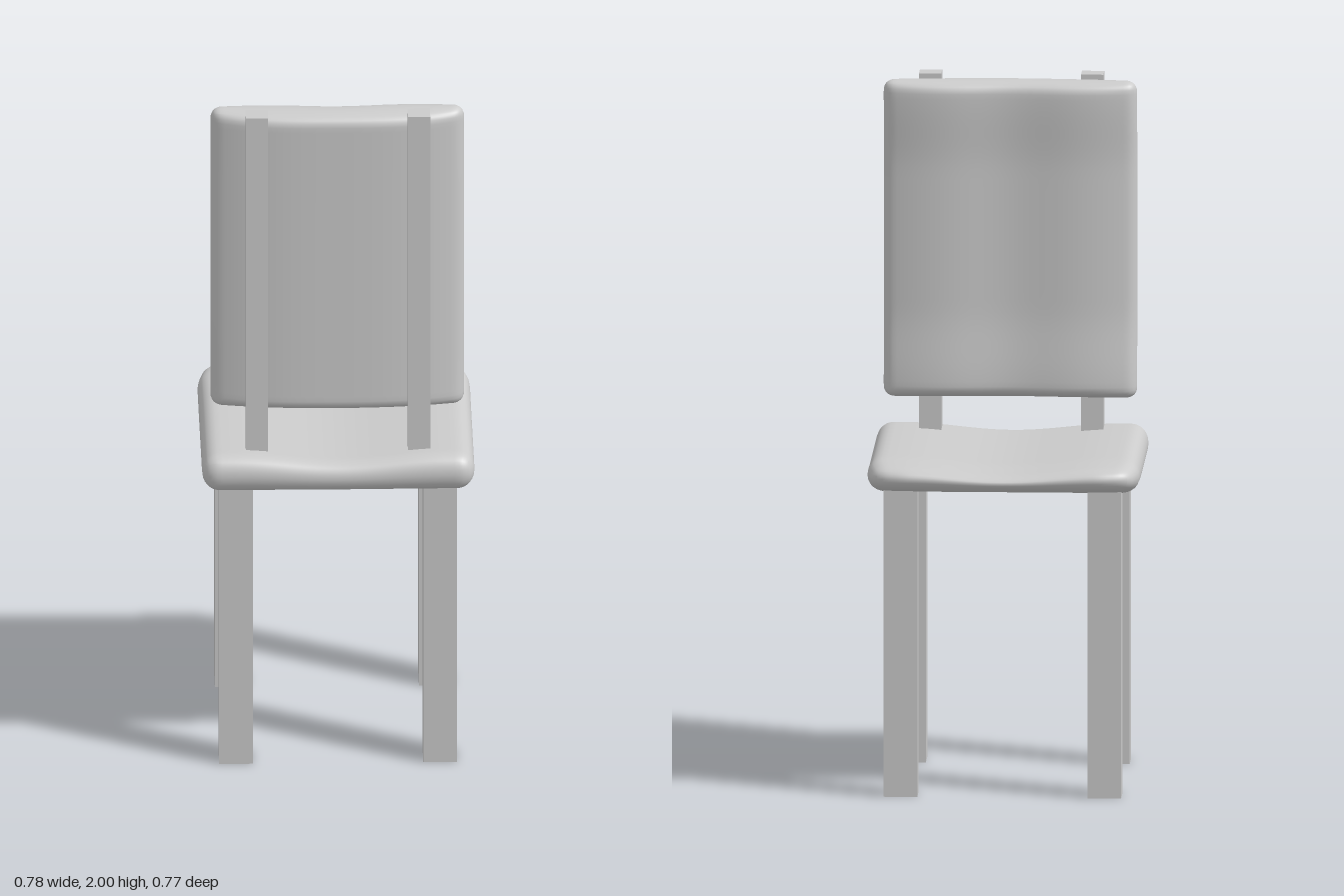
import * as THREE from 'three';
import { mergeVertices } from 'three/addons/utils/BufferGeometryUtils.js';

const { clamp, lerp, smoothstep } = THREE.MathUtils;
const material = new THREE.MeshStandardMaterial({ color: 0xcccccc });

// Smooth cushion: a rounded box (half sizes h, edge radii r), then reshaped by a rule.
function cushion(name, h, r, segments, reshape) {
  const box = new THREE.BoxGeometry(2, 2, 2, ...segments);
  box.deleteAttribute('uv');
  box.deleteAttribute('normal');
  const geometry = mergeVertices(box);
  const pos = geometry.attributes.position;
  const p = new THREE.Vector3(), d = new THREE.Vector3();
  for (let i = 0; i < pos.count; i++) {
    p.fromBufferAttribute(pos, i);
    for (const a of ['x', 'y', 'z']) {
      // crowd the vertices towards the rims, then split core and rounding
      const v = Math.sin(p[a] * Math.PI / 2) * h[a];
      const core = h[a] - r[a];
      p[a] = clamp(v, -core, core);
      d[a] = (v - p[a]) / r[a];
    }
    // bring the square rim onto the rounded one
    const m = Math.max(Math.abs(d.x), Math.abs(d.y), Math.abs(d.z));
    if (m > 0) d.setLength(m);
    for (const a of ['x', 'y', 'z']) p[a] += d[a] * r[a];
    reshape(p);
    pos.setXYZ(i, p.x, p.y, p.z);
  }
  geometry.computeVertexNormals();
  const mesh = new THREE.Mesh(geometry, material);
  mesh.name = name;
  return mesh;
}

// Square bar between two heights
function bar(name, x, z, width, y0, y1) {
  const mesh = new THREE.Mesh(new THREE.BoxGeometry(width, y1 - y0, width), material);
  mesh.name = name;
  mesh.position.set(x, (y0 + y1) / 2, z);
  return mesh;
}

// Seat: dished across, thinner towards its free edge at -z, with clipped corners there
function shapeSeat(p) {
  const t = p.y / 0.055;
  const ax = Math.abs(p.x);
  const front = clamp(-p.z / 0.385, 0, 1);
  const bottom = 0.86 + 0.04 * front ** 2.5;
  const top = 0.97 - 0.012 * smoothstep(-p.z, 0.22, 0.385);
  const dish = 0.021 * (0.5 + 0.5 * Math.cos(Math.PI * Math.min(ax / 0.31, 1)));
  p.y = lerp(bottom, top, (t + 1) / 2) - dish * clamp((t + 1) / 2, 0, 1);
  const z = p.z;
  p.z += 0.016 * smoothstep(ax, 0.28, 0.39) * front ** 4;
  p.x *= 1 - 0.045 * smoothstep(-z, 0.25, 0.385);
}

// Backrest: bowed rear face, and a gently waved face towards the sitter
function shapeBack(p) {
  const ax = Math.abs(p.x);
  const rear = 0.283 - 0.053 * (ax / 0.363) ** 3;
  const wave = ax < 0.19
    ? 0.1585 + 0.0065 * Math.cos(Math.PI * ax / 0.19)
    : 0.152 + 0.018 * ((ax - 0.19) / 0.15) ** 2;
  const hollow = 0.012 * (1 - smoothstep(Math.abs(p.y), 0.2, 0.42));
  p.z = lerp(wave + hollow, rear, (p.z / 0.05 + 1) / 2);
  p.y += 1.53;
}

export function createModel() {
  const chair = new THREE.Group();
  chair.name = 'chair';

  chair.add(cushion('seat',
    new THREE.Vector3(0.39, 0.055, 0.385),
    new THREE.Vector3(0.05, 0.055, 0.05), [40, 10, 40], shapeSeat));

  chair.add(cushion('backrest',
    new THREE.Vector3(0.363, 0.46, 0.05),
    new THREE.Vector3(0.03, 0.03, 0.05), [40, 40, 10], shapeBack));

  for (const side of [1, -1]) {
    const label = side > 0 ? 'left' : 'right';
    chair.add(bar(label + 'BackPost', side * 0.232, 0.277, 0.064, 0.9, 2));
    chair.add(bar(label + 'LegUnderBack', side * 0.292, 0.276, 0.097, 0, 0.9));
    chair.add(bar(label + 'LegUnderFreeEdge', side * 0.292, -0.287, 0.097, 0, 0.92));
  }
  return chair;
}
